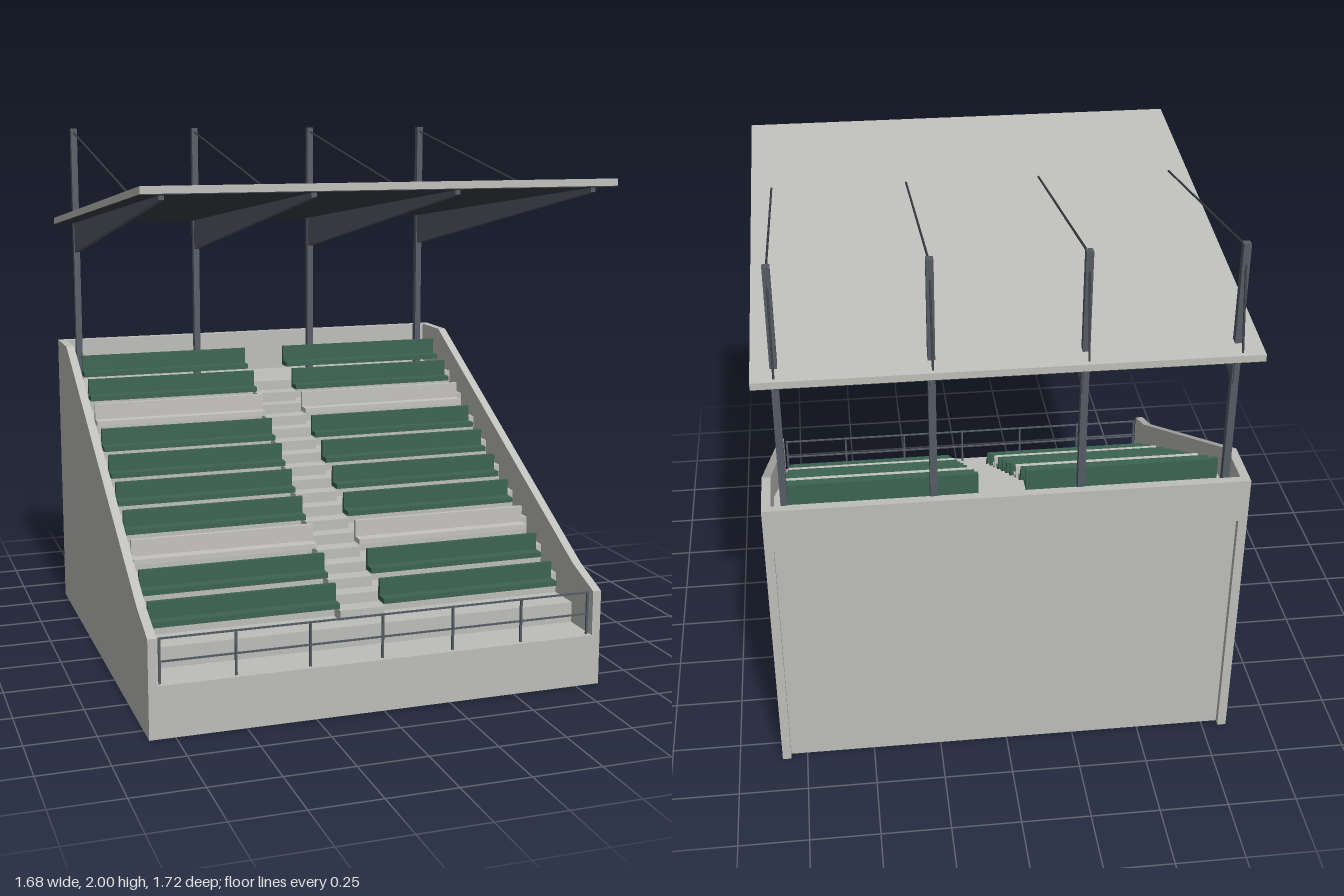
import * as THREE from 'three';

const mat = (name, color) => {
  const m = new THREE.MeshStandardMaterial({ color });
  m.name = name;
  return m;
};

export function createModel() {
  const concrete = mat('concrete', 0xbdbdba);
  const paleBench = mat('paleBench', 0xc4c3bf);
  const green = mat('seatGreen', 0x3b6352);
  const steel = mat('slateSteel', 0x555b65);
  const dark = mat('darkMetal', 0x3c3f45);
  const roofSheet = mat('roofSheet', 0xbfbfba);

  const model = new THREE.Group();
  model.name = 'grandstand';

  const add = (name, geometry, material, parent = model) => {
    const mesh = new THREE.Mesh(geometry, material);
    mesh.name = name;
    parent.add(mesh);
    return mesh;
  };
  // box given by its minimum and maximum on each axis
  const box = (name, material, x0, x1, y0, y1, z0, z1, parent) => {
    const mesh = add(name, new THREE.BoxGeometry(x1 - x0, y1 - y0, z1 - z0), material, parent);
    mesh.position.set((x0 + x1) / 2, (y0 + y1) / 2, (z0 + z1) / 2);
    return mesh;
  };
  // side profile of [z, y] points, extruded along x and centred on x
  const slab = (name, material, points, x, width, parent) => {
    const shape = new THREE.Shape(points.map(([z, y]) => new THREE.Vector2(z, y)));
    const geometry = new THREE.ExtrudeGeometry(shape, { depth: width, bevelEnabled: false });
    geometry.rotateY(-Math.PI / 2).translate(x + width / 2, 0, 0);
    return add(name, geometry, material, parent);
  };
  // thin round bar between two points
  const bar = (name, material, a, b, radius, parent) => {
    const from = new THREE.Vector3(...a), to = new THREE.Vector3(...b);
    const dir = to.clone().sub(from);
    const mesh = add(name, new THREE.CylinderGeometry(radius, radius, dir.length(), 6), material, parent);
    mesh.position.copy(from).add(to).multiplyScalar(0.5);
    mesh.quaternion.setFromUnitVectors(new THREE.Vector3(0, 1, 0), dir.normalize());
    return mesh;
  };

  // Tier layout
  const ROWS = 10, RISE = 0.0765, RUN = 0.131, DECK = 0.1885, T = 0.05;
  const floorY = i => DECK + RISE * (i + 1);
  const noseZ = i => 0.68 - RUN * i;
  const topFloor = floorY(ROWS - 1);

  // Side walls
  const wall = [[0.84, 0], [0.84, 0.355], [0.68, 0.415], [-0.63, 1.12], [-0.84, 1.12], [-0.84, 0]];
  for (const s of [-1, 1]) slab(s > 0 ? 'leftWall' : 'rightWall', concrete, wall, s * 0.826, 0.032);

  // Front wall, deck, stepped terrace and rear walkway, with a stepped underside
  const terrace = [[0.84, 0], [0.84, DECK]];
  for (let i = 0; i < ROWS; i++) terrace.push([noseZ(i), floorY(i - 1)], [noseZ(i), floorY(i)]);
  terrace.push([-0.8, topFloor], [-0.8, topFloor - T]);
  for (let i = ROWS - 1; i >= 0; i--)
    terrace.push([noseZ(i) - T, floorY(i) - T], [noseZ(i) - T, floorY(i - 1) - T]);
  terrace.push([0.81, DECK - T], [0.81, 0]);
  slab('terrace', concrete, terrace, 0, 1.62);

  // Recessed back wall with a parapet above it
  box('backWall', concrete, -0.81, 0.81, 0, topFloor, -0.815, -0.785);
  box('parapet', concrete, -0.81, 0.81, topFloor, 1.12, -0.84, -0.81);

  // Half-height steps in the centre aisle
  const aisle = new THREE.Group();
  aisle.name = 'aisleSteps';
  model.add(aisle);
  for (let i = 1; i < ROWS; i++)
    box('aisleStep', concrete, -0.085, 0.085, floorY(i - 1), floorY(i - 1) + RISE / 2,
      noseZ(i), noseZ(i) + RUN / 2, aisle);

  // Benches fixed to the riser behind: thin seat and tall backrest
  const benches = new THREE.Group();
  benches.name = 'benches';
  model.add(benches);
  for (let i = 0; i < ROWS; i++) {
    const y = floorY(i), front = noseZ(i) - 0.07, back = noseZ(i + 1);
    const profile = [[front, y + 0.045], [front, y + 0.064], [back + 0.016, y + 0.064],
      [back + 0.016, y + 0.126], [back, y + 0.126], [back, y + 0.045]];
    const paint = i === 2 || i === 7 ? paleBench : green;
    for (const s of [-1, 1]) slab('bench', paint, profile, s * 0.4325, 0.695, benches);
  }

  // Front railing
  const railing = new THREE.Group();
  railing.name = 'frontRailing';
  model.add(railing);
  for (let i = -3; i <= 3; i++)
    box('railPost', steel, i * 0.266 - 0.004, i * 0.266 + 0.004, DECK - 0.003, 0.35, 0.816, 0.824, railing);
  for (const y of [0.266, 0.347])
    box('rail', steel, -0.802, 0.802, y - 0.003, y + 0.003, 0.817, 0.823, railing);

  // Sloping roof sheet with a thin dark lining below
  const roof = [[0.858, 1.82], [0.858, 1.845], [-0.86, 1.631], [-0.86, 1.606]];
  slab('roof', roofSheet, roof, 0, 1.684);
  const lining = [[0.856, 1.817], [0.856, 1.821], [-0.858, 1.607], [-0.858, 1.603]];
  slab('roofLining', dark, lining, 0, 1.68);

  // Masts, tapered cantilever beams and stay cables
  for (const x of [-0.765, -0.255, 0.255, 0.765]) {
    const frame = new THREE.Group();
    frame.name = 'roofFrame';
    model.add(frame);
    box('mast', steel, x - 0.0125, x + 0.0125, topFloor, 2, -0.789, -0.761, frame);
    slab('cantileverBeam', steel,
      [[0.825, 1.798], [0.825, 1.813], [-0.797, 1.611], [-0.797, 1.487]], x, 0.018, frame);
    bar('frontCable', dark, [x, 1.985, -0.775], [x, 1.788, 0.335], 0.004, frame);
    bar('backCable', dark, [x, 1.985, -0.775], [x, 1.635, -0.845], 0.004, frame);
  }
  return model;
}
